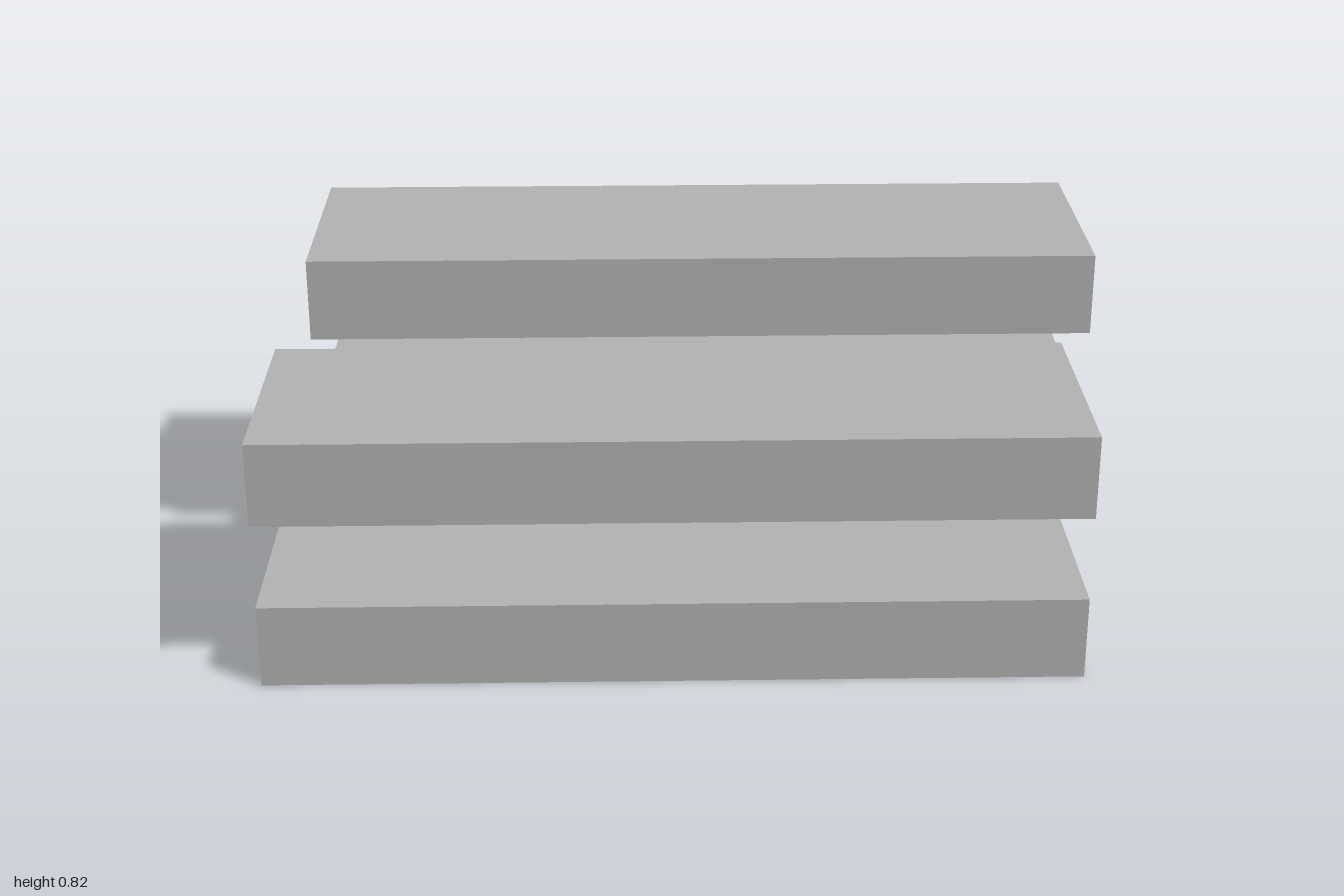
import * as THREE from 'three';

export function createModel() {
  const group = new THREE.Group();
  group.name = 'staggeredSlabs';
  const grey = new THREE.MeshStandardMaterial({ color: 0xb2b2b2 });
  grey.name = 'plain grey';

  const height = 0.203;
  const step = 0.2055; // rise from one slab to the next
  const slab = new THREE.BoxGeometry(1.92, height, 0.563);

  // Four slabs rise in turn, alternating front and back
  for (let i = 0; i < 4; i++) {
    const side = i % 2 === 0 ? 1 : -1;
    const mesh = new THREE.Mesh(slab, grey);
    mesh.name = (side > 0 ? 'frontSlab' : 'backSlab') + (i < 2 ? 'Lower' : 'Upper');
    mesh.position.set(-0.04 * side, height / 2 + i * step, 0.309 * side);
    group.add(mesh);
  }
  return group;
}
